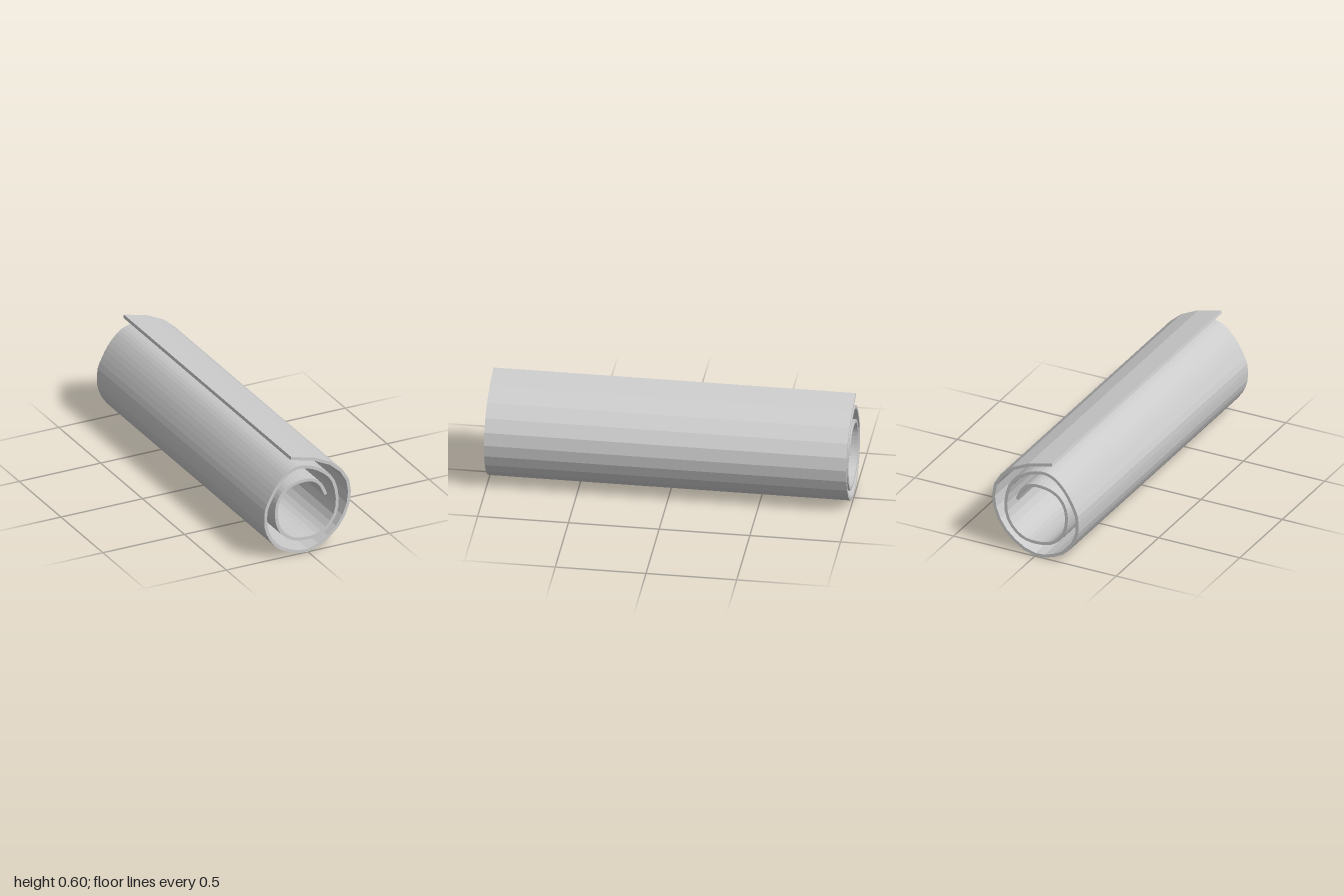
import * as THREE from 'three';

const THICKNESS = 0.018, BACK = -0.997, FRONT = 1;

// Outer face of the sheet: the loose outer wrap is coarsely faceted
const LOOSE_WRAP = [
  [-0.102, 0.598], [0.038, 0.564], [0.144, 0.514], [0.212, 0.454], [0.253, 0.386],
  [0.265, 0.312], [0.256, 0.241], [0.229, 0.171], [0.187, 0.109], [0.131, 0.059],
  [0.069, 0.021], [0, 0.001], [-0.063, 0.005], [-0.119, 0.025], [-0.169, 0.05],
  [-0.203, 0.08], [-0.233, 0.12], [-0.254, 0.164], [-0.265, 0.204],
];

// Knots of the tighter inner wraps, which curve more finely
const TIGHT_WRAP = [
  [-0.267, 0.243], [-0.263, 0.307], [-0.233, 0.377], [-0.199, 0.434], [-0.163, 0.477],
  [-0.126, 0.509], [-0.087, 0.527], [-0.042, 0.532], [0.033, 0.514], [0.11, 0.466],
  [0.165, 0.4], [0.19, 0.286], [0.174, 0.188], [0.12, 0.116], [0.056, 0.082],
  [-0.01, 0.077], [-0.069, 0.084], [-0.113, 0.102], [-0.149, 0.129], [-0.176, 0.164],
  [-0.194, 0.209], [-0.201, 0.259], [-0.199, 0.311], [-0.185, 0.355], [-0.158, 0.396],
  [-0.119, 0.425], [-0.069, 0.441], [-0.012, 0.446], [0.035, 0.437], [0.071, 0.414],
  [0.097, 0.379], [0.119, 0.327],
];

const toVectors = (points) => points.map(([x, y]) => new THREE.Vector2(x, y));

// Shift a clockwise polyline inward by a constant distance, mitring its corners
function offsetInward(points, distance) {
  const normal = (a, b) => new THREE.Vector2(b.y - a.y, a.x - b.x).normalize();
  return points.map((p, i) => {
    const before = normal(points[Math.max(i - 1, 0)], points[Math.max(i, 1)]);
    const last = points.length - 1;
    const after = normal(points[Math.min(i, last - 1)], points[Math.min(i + 1, last)]);
    const mitre = before.clone().add(after).normalize();
    return p.clone().addScaledVector(mitre, distance / mitre.dot(after));
  });
}

export function createModel() {
  const group = new THREE.Group();
  group.name = 'rolledSheet';

  // Spiral cross-section with a constant thickness
  const tight = new THREE.SplineCurve(toVectors(TIGHT_WRAP)).getPoints((TIGHT_WRAP.length - 1) * 2);
  const outer = [...toVectors(LOOSE_WRAP), ...tight];
  const inner = offsetInward(outer, THICKNESS);
  const section = new THREE.Shape([...outer, ...inner.reverse()]);

  // Extrude the spiral along the length of the roll
  const geometry = new THREE.ExtrudeGeometry(section, {
    depth: FRONT - BACK, bevelEnabled: false, steps: 1,
  });
  geometry.translate(0, 0, BACK);

  const sheet = new THREE.Mesh(
    geometry,
    new THREE.MeshStandardMaterial({ color: 0xcccccc, flatShading: true }),
  );
  sheet.name = 'spiralSheet';
  group.add(sheet);
  return group;
}
